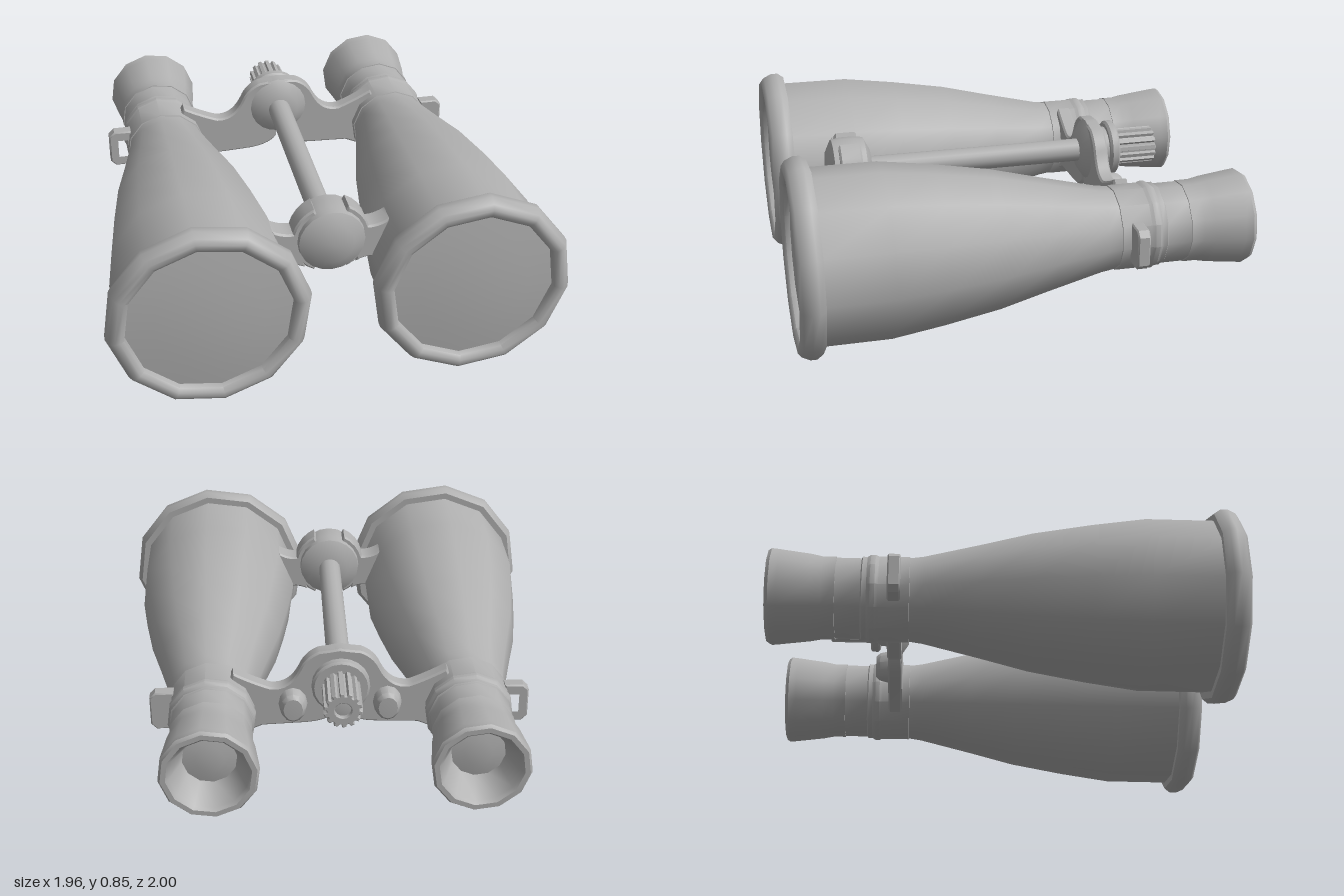
import * as THREE from 'three';
import { toCreasedNormals } from 'three/addons/utils/BufferGeometryUtils.js';

const AXIS_X = 0.556, AXIS_Y = 0.425, HINGE_Y = 0.575;

export function createModel() {
  const model = new THREE.Group();
  model.name = 'binoculars';
  const grey = new THREE.MeshStandardMaterial({ color: 0xb0b0b0 });
  grey.name = 'grey';

  const add = (geometry, name, parent = model) => {
    const mesh = new THREE.Mesh(geometry, grey);
    mesh.name = name;
    parent.add(mesh);
    return mesh;
  };

  // Turned part along z; profile points are [radius, z] with z rising on the outside
  const turned = (profile, sides, phase = 0, crease = 0.6) => {
    const g = new THREE.LatheGeometry(profile.map(([r, z]) => new THREE.Vector2(r, z)), sides, phase);
    g.rotateX(Math.PI / 2);
    return toCreasedNormals(g, crease);
  };

  // Flat outline in x/y, extruded from z0 to z1 with a small bevel
  const plate = (shape, z0, z1, bevel = 0.008) => {
    const g = new THREE.ExtrudeGeometry(shape, {
      depth: z1 - z0 - 2 * bevel, bevelEnabled: true, bevelThickness: bevel,
      bevelSize: bevel, bevelOffset: -bevel, bevelSegments: 1, curveSegments: 8,
    });
    g.translate(0, 0, z0 + bevel);
    return toCreasedNormals(g, 0.6);
  };

  // Smooth band around the hinge axis between two angles (degrees)
  const strapShape = (s, inner, outer, from, to) => {
    const pts = [];
    const n = 10;
    for (const [r, flip] of [[outer, false], [inner, true]]) {
      for (let i = 0; i <= n; i++) {
        const t = flip ? 1 - i / n : i / n;
        const a = THREE.MathUtils.degToRad(from + (to - from) * t);
        pts.push(new THREE.Vector2(s * r * Math.cos(a), HINGE_Y + r * Math.sin(a)));
      }
    }
    return new THREE.Shape(pts);
  };

  for (const s of [1, -1]) {
    const side = s > 0 ? 'left' : 'right';
    const phase = -s * THREE.MathUtils.degToRad(7);

    // Optical tube
    const tube = new THREE.Group();
    tube.name = side + 'Tube';
    tube.position.set(s * AXIS_X, AXIS_Y, 0);
    model.add(tube);
    add(turned([[0.18, -0.41], [0.19, -0.34], [0.247, -0.1], [0.302, 0.12], [0.345, 0.37],
      [0.377, 0.6], [0.378, 0.91]], 12, phase), 'barrel', tube);
    add(turned([[0.37, 0.893], [0.408, 0.893], [0.428, 0.92], [0.428, 0.95], [0.412, 0.985],
      [0.392, 1], [0.37, 0.998], [0.352, 0.985], [0.348, 0.955]], 12, phase, 0.9), 'objectiveRim', tube);
    add(turned([[0.352, 0.96], [0.24, 0.971], [0.12, 0.978], [0, 0.98]], 12, phase), 'objectiveLens', tube);
    add(turned([[0.165, -0.585], [0.183, -0.58], [0.192, -0.565], [0.192, -0.545], [0.186, -0.53],
      [0.186, -0.4], [0.17, -0.395]], 12, phase), 'neckRing', tube);
    add(turned([[0.165, -0.72], [0.176, -0.715], [0.176, -0.605], [0.183, -0.6], [0.183, -0.575]],
      12, phase), 'eyepieceSleeve', tube);
    add(turned([[0.115, -0.87], [0.165, -0.985], [0.178, -1], [0.2, -1], [0.21, -0.985], [0.206, -0.95],
      [0.19, -0.82], [0.18, -0.77], [0.18, -0.712], [0.16, -0.71]], 12, phase), 'eyecup', tube);
    add(turned([[0, -0.88], [0.06, -0.878], [0.118, -0.868]], 12, phase), 'eyepieceLens', tube);

    // Rear bridge arm reaching from the hinge to the tube
    const arm = new THREE.Shape();
    arm.moveTo(s * 0.01, 0.715);
    arm.lineTo(s * 0.09, 0.705);
    arm.quadraticCurveTo(s * 0.15, 0.68, s * 0.175, 0.62);
    arm.quadraticCurveTo(s * 0.22, 0.525, s * 0.3, 0.535);
    arm.quadraticCurveTo(s * 0.37, 0.56, s * 0.46, 0.61);
    arm.lineTo(s * 0.53, 0.45);
    arm.lineTo(s * 0.42, 0.31);
    arm.lineTo(s * 0.34, 0.345);
    arm.lineTo(s * 0.17, 0.352);
    arm.quadraticCurveTo(s * 0.05, 0.355, s * 0.01, 0.41);
    add(plate(arm, -0.5, -0.435), side + 'BridgeArm');

    // Raised boss on the back of the arm
    const boss = add(turned([[0, -0.56], [0.042, -0.558], [0.055, -0.54], [0.065, -0.49]], 12), side + 'BridgeBoss');
    boss.position.set(s * 0.205, 0.455, 0);
    boss.scale.y = 1.25;

    // Front hinge strap and its link to the barrel
    add(plate(strapShape(s, 0.12, 0.168, -65, 64), 0.62, 0.72), side + 'HingeStrap');
    const link = new THREE.Shape();
    link.moveTo(s * 0.13, 0.625);
    link.quadraticCurveTo(s * 0.18, 0.6, s * 0.25, 0.64);
    link.lineTo(s * 0.27, 0.43);
    link.quadraticCurveTo(s * 0.18, 0.48, s * 0.11, 0.44);
    add(plate(link, 0.62, 0.72), side + 'HingeLink');

    // Neck strap loop
    const loop = new THREE.Shape();
    loop.moveTo(s * 0.72, 0.335);
    loop.lineTo(s * 0.8, 0.335);
    loop.lineTo(s * 0.825, 0.36);
    loop.lineTo(s * 0.825, 0.49);
    loop.lineTo(s * 0.8, 0.515);
    loop.lineTo(s * 0.72, 0.515);
    const gap = new THREE.Path();
    gap.moveTo(s * 0.73, 0.375);
    gap.lineTo(s * 0.79, 0.375);
    gap.lineTo(s * 0.79, 0.475);
    gap.lineTo(s * 0.73, 0.475);
    loop.holes.push(gap);
    add(plate(loop, -0.492, -0.437, 0.006), side + 'StrapLoop');
  }

  // Central hinge
  const hinge = new THREE.Group();
  hinge.name = 'centralHinge';
  hinge.position.y = HINGE_Y;
  model.add(hinge);
  add(turned([[0.052, -0.45], [0.052, 0.6]], 16), 'hingeRod', hinge);
  add(turned([[0, 0.57], [0.09, 0.572], [0.142, 0.597], [0.148, 0.64], [0.148, 0.7], [0.142, 0.742],
    [0.09, 0.768], [0, 0.775]], 20, 0, 0.9), 'frontHinge', hinge);
  add(turned([[0, -0.5], [0.135, -0.5], [0.142, -0.49], [0.142, -0.44], [0.09, -0.405], [0, -0.4]], 20), 'rearHinge', hinge);
  add(turned([[0.09, -0.545], [0.098, -0.535], [0.098, -0.49]], 20), 'focusCollar', hinge);
  add(turned([[0, -0.58], [0.115, -0.58], [0.125, -0.572], [0.125, -0.545], [0.115, -0.535], [0, -0.535]], 20), 'focusFlange', hinge);

  // Ribbed focus knob with a recessed end
  const ribs = [];
  const teeth = 14;
  for (let i = 0; i < teeth; i++) {
    for (const [t, r] of [[0, 0.07], [0.15, 0.083], [0.6, 0.083], [0.75, 0.07]]) {
      const a = ((i + t) / teeth) * Math.PI * 2;
      ribs.push(new THREE.Vector2(r * Math.cos(a), r * Math.sin(a)));
    }
  }
  const knob = new THREE.Shape(ribs);
  knob.holes.push(new THREE.Path().absarc(0, 0, 0.035, 0, Math.PI * 2, true));
  add(plate(knob, -0.765, -0.57, 0.004), 'focusKnob', hinge);
  add(turned([[0, -0.75], [0.04, -0.745], [0.04, -0.6]], 12), 'knobCore', hinge);

  return model;
}
